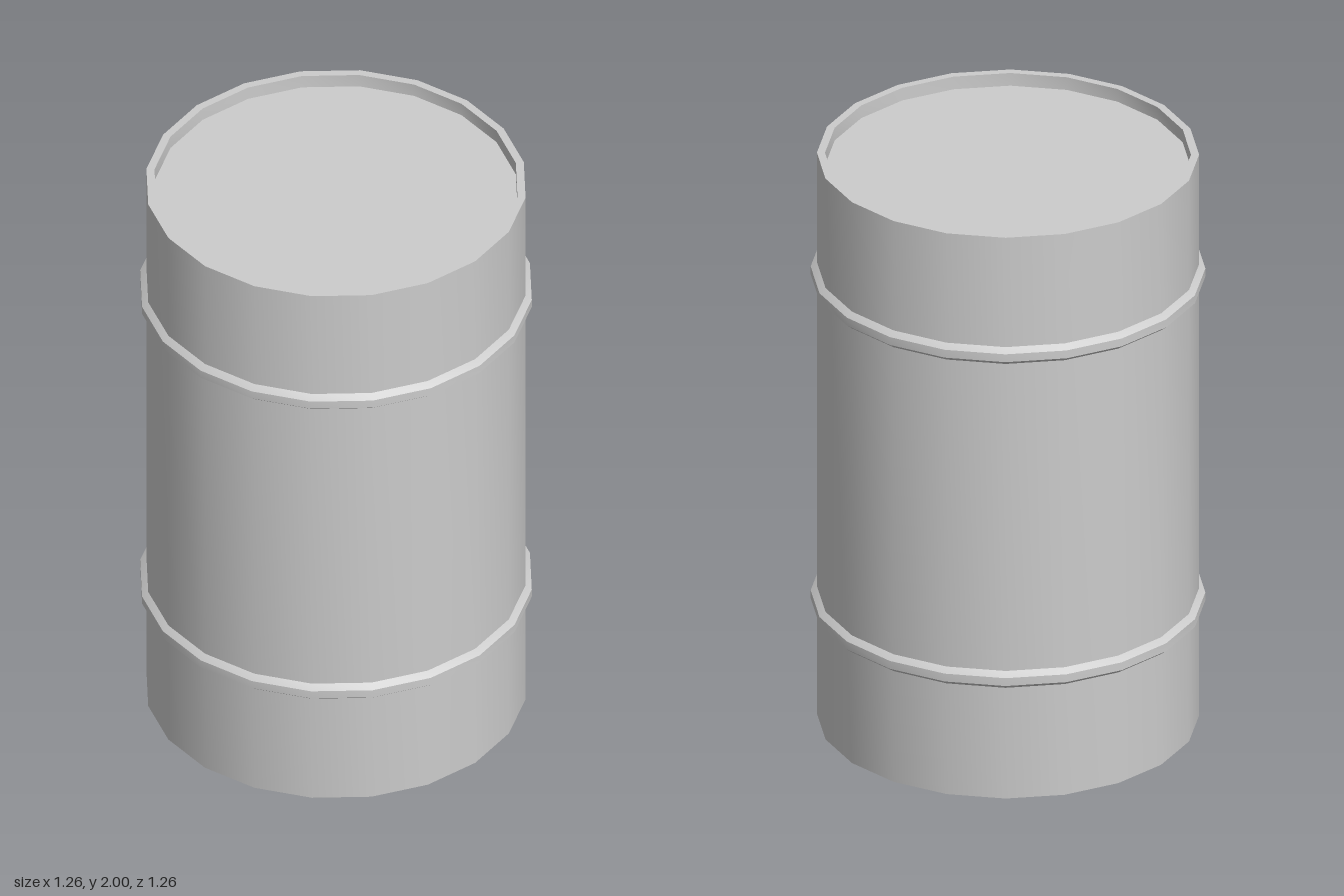
import * as THREE from 'three';
import { toCreasedNormals } from 'three/addons/utils/BufferGeometryUtils.js';

const SIDES = 20;
const R = 0.612;       // shell radius
const INNER = 0.586;   // inside of the rims
const RIB = 0.632;     // hoop radius
const RECESS = 0.045;  // depth of the end plates below the rims

const material = new THREE.MeshStandardMaterial({ color: 0xcccccc });

// Turn a profile of [radius, y] pairs, bottom to top, into a named mesh
function turned(name, profile, sides) {
  const points = profile.map(([r, y]) => new THREE.Vector2(r, y));
  const geometry = toCreasedNormals(new THREE.LatheGeometry(points, sides), Math.PI / 6);
  const mesh = new THREE.Mesh(geometry, material);
  mesh.name = name;
  return mesh;
}

export function createModel() {
  const drum = new THREE.Group();
  drum.name = 'drum';

  // Shell with raised rims and recessed end plates
  drum.add(turned('shell', [
    [0, RECESS], [INNER, RECESS], [INNER, 0], [R, 0],
    [R, 2], [INNER, 2], [INNER, 2 - RECESS], [0, 2 - RECESS],
  ], SIDES));

  // Two bevelled hoops around the shell
  for (const [name, y] of [['lowerHoop', 0.425], ['upperHoop', 1.58]]) {
    const hoop = turned(name, [
      [R - 0.005, -0.03], [R, -0.03], [RIB, -0.014], [RIB, 0.014], [R, 0.03], [R - 0.005, 0.03],
    ], SIDES);
    hoop.position.y = y;
    drum.add(hoop);
  }

  // Two bungs hanging from the bottom plate
  for (const [name, r, z] of [['largeBung', 0.084, 0.4], ['smallBung', 0.062, -0.34]]) {
    const bung = turned(name, [
      [0, -0.036], [r * 0.72, -0.036], [r, -0.024], [r, 0],
    ], 16);
    bung.position.set(0, RECESS, z);
    drum.add(bung);
  }

  return drum;
}
